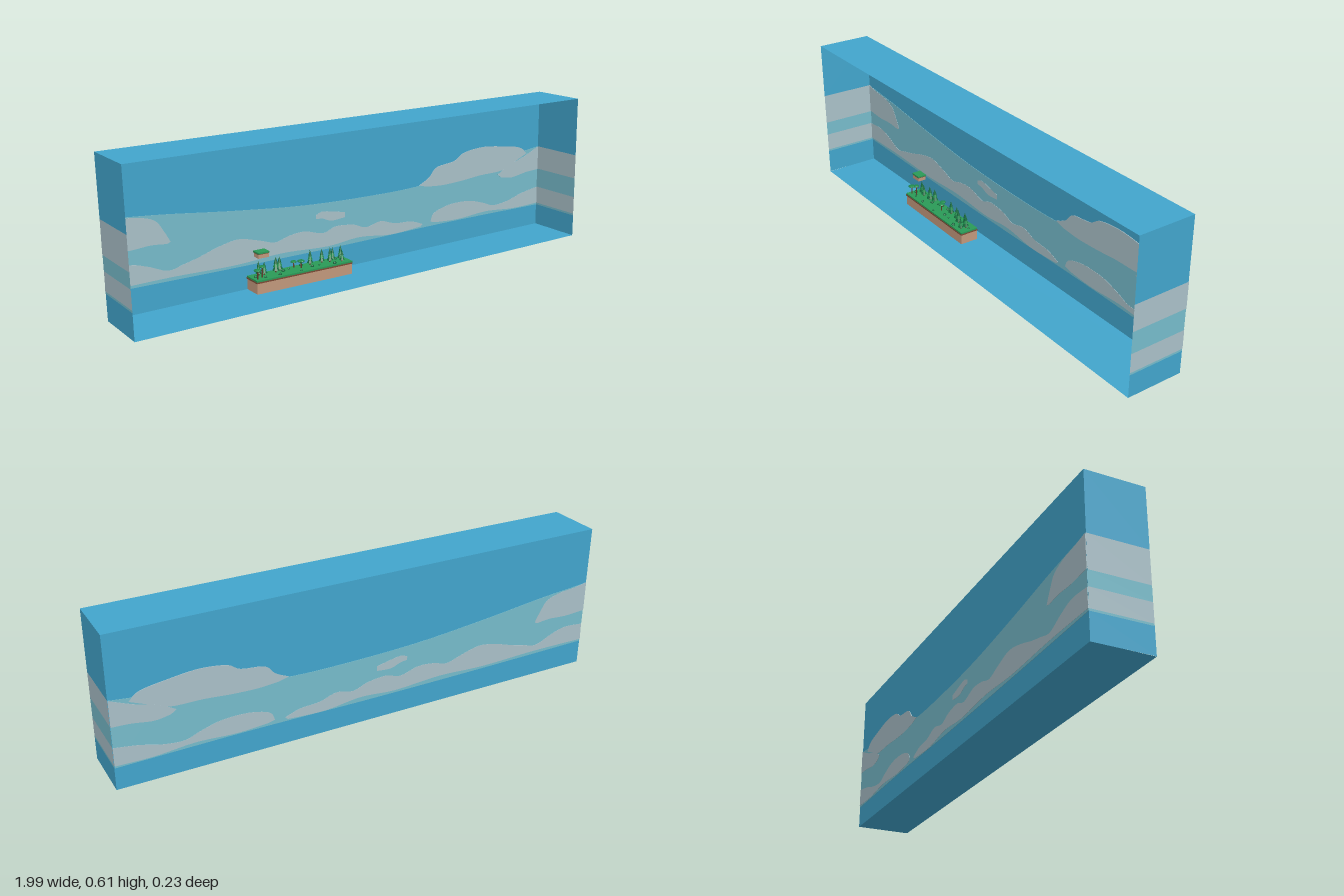
import * as THREE from 'three';

const mat = (name, color, extra = {}) => {
  const m = new THREE.MeshStandardMaterial({ color, ...extra });
  m.name = name;
  return m;
};
const sheet = { side: THREE.DoubleSide };
const low = { flatShading: true };

export function createModel() {
  const M = {
    blue: mat('sky blue', 0x42a5cc, sheet),
    teal: mat('pale sky', 0x76bbca, sheet),
    cloud: mat('cloud grey', 0xa9c0c8, sheet),
    tan: mat('earth tan', 0xc2987c, low),
    soil: mat('dark soil', 0x7a4a35, low),
    grass: mat('grass green', 0x2a9a57, low),
    leaf: mat('leaf green', 0x1f8a4c, low),
    pine: mat('pine green', 0x146c3e, low),
    bark: mat('bark brown', 0x5e3a28, low),
  };
  const root = new THREE.Group();
  root.name = 'skyDiorama';
  const group = (name, parent = root) => {
    const g = new THREE.Group();
    g.name = name;
    parent.add(g);
    return g;
  };
  const add = (parent, name, geo, m, x = 0, y = 0, z = 0) => {
    const mesh = new THREE.Mesh(geo, m);
    mesh.name = name;
    mesh.position.set(x, y, z);
    parent.add(mesh);
    return mesh;
  };

  // Sky box: slightly tilted, open at the front
  const sky = group('skyBox');
  const L0 = -0.987, L1 = -0.997, R0 = 0.993, R1 = 0.986;   // side x at bottom and top
  const BACK = -0.113, FRONT = 0.111;
  const quad = (name, m, a, b, c, d) => {
    const g = new THREE.BufferGeometry();
    g.setAttribute('position', new THREE.Float32BufferAttribute([a, b, c, d].flat(), 3));
    g.setIndex([0, 1, 2, 0, 2, 3]);
    g.computeVertexNormals();
    return add(sky, name, g, m);
  };
  quad('backWall', M.blue, [L0, 0.002, BACK], [R0, 0.02, BACK], [R1, 0.605, BACK], [L1, 0.59, BACK]);
  quad('ceiling', M.blue, [L1, 0.59, FRONT], [R1, 0.605, FRONT], [R1, 0.605, BACK], [L1, 0.59, BACK]);
  quad('floor', M.blue, [L0, 0, FRONT], [R0, 0.02, FRONT], [R0, 0.02, BACK], [L0, 0.002, BACK]);

  // End walls made of horizontal colour bands
  const bandColours = [M.blue, M.teal, M.cloud, M.teal, M.cloud, M.blue];
  const endWall = (name, xb, xt, ys) => {
    const xAt = y => xb + (xt - xb) * (y - ys[0]) / (ys[6] - ys[0]);
    bandColours.forEach((m, i) => {
      const [a, b] = [ys[i], ys[i + 1]];
      quad(name + 'Band', m, [xAt(a), a, FRONT], [xAt(a), a, BACK], [xAt(b), b, BACK], [xAt(b), b, FRONT]);
    });
  };
  endWall('leftEnd', R0, R1, [0.02, 0.107, 0.115, 0.187, 0.268, 0.367, 0.605]);
  endWall('rightEnd', L0, L1, [0.001, 0.1, 0.108, 0.18, 0.237, 0.362, 0.59]);

  // Painted plates that show on both faces of the back wall
  const plate = (name, m, top, bottom, depth) => {
    const s = new THREE.Shape();
    const v = p => new THREE.Vector2(...p);
    s.moveTo(...top[0]);
    s.splineThru(top.slice(1).map(v));
    s.lineTo(...bottom[0]);
    if (bottom.length > 1) s.splineThru(bottom.slice(1).map(v));
    s.closePath();
    const g = new THREE.ExtrudeGeometry(s, { depth, bevelEnabled: false, curveSegments: 5 });
    add(sky, name, g, m, 0, 0, BACK - depth / 2);
  };
  plate('paleSkyBand', M.teal,
    [[-0.992, 0.36], [-0.77, 0.342], [-0.5, 0.312], [-0.2, 0.286], [0.1, 0.278], [0.35, 0.284], [0.6, 0.32], [0.988, 0.367]],
    [[0.99, 0.107], [0.5, 0.108], [0, 0.1], [-0.5, 0.098], [-0.988, 0.1]], 0.003);
  plate('leftHighCloud', M.cloud,
    [[-0.992, 0.362], [-0.93, 0.352], [-0.86, 0.345], [-0.8, 0.325], [-0.77, 0.285], [-0.745, 0.24]],
    [[-0.76, 0.235], [-0.82, 0.24], [-0.9, 0.235], [-0.991, 0.24]], 0.005);
  plate('smallCloud', M.cloud,
    [[-0.15, 0.24], [-0.12, 0.25], [-0.06, 0.24], [-0.02, 0.232]],
    [[-0.02, 0.212], [-0.08, 0.208], [-0.12, 0.222], [-0.15, 0.225]], 0.005);
  plate('bigCloud', M.cloud,
    [[0.34, 0.285], [0.39, 0.31], [0.43, 0.348], [0.52, 0.362], [0.57, 0.39], [0.67, 0.402], [0.78, 0.392], [0.88, 0.375], [0.92, 0.345]],
    [[0.85, 0.315], [0.78, 0.288], [0.66, 0.283], [0.56, 0.274], [0.46, 0.27], [0.38, 0.275]], 0.005);
  plate('rightHighCloud', M.cloud,
    [[0.76, 0.272], [0.82, 0.305], [0.9, 0.33], [0.988, 0.367]],
    [[0.989, 0.266], [0.92, 0.262], [0.84, 0.25], [0.78, 0.258]], 0.0056);
  plate('leftLowCloud', M.cloud,
    [[-0.988, 0.178], [-0.9, 0.184], [-0.83, 0.165], [-0.76, 0.138], [-0.7, 0.15], [-0.64, 0.165], [-0.56, 0.19],
      [-0.48, 0.203], [-0.4, 0.185], [-0.33, 0.165], [-0.27, 0.18], [-0.2, 0.185], [-0.12, 0.165], [-0.06, 0.182],
      [0.02, 0.175], [0.08, 0.155], [0.15, 0.168], [0.22, 0.148], [0.3, 0.142], [0.36, 0.122]],
    [[0.35, 0.113], [0.2, 0.105], [0.05, 0.12], [-0.1, 0.109], [-0.3, 0.118], [-0.5, 0.108], [-0.75, 0.112], [-0.989, 0.108]], 0.005);
  plate('rightLowCloud', M.cloud,
    [[0.4, 0.125], [0.42, 0.16], [0.5, 0.182], [0.6, 0.182], [0.68, 0.162], [0.74, 0.142], [0.82, 0.15], [0.9, 0.172], [0.99, 0.187]],
    [[0.991, 0.115], [0.85, 0.112], [0.7, 0.122], [0.55, 0.113], [0.43, 0.118]], 0.005);

  // Forest ledge
  const ledge = group('forestLedge');
  const CX = -0.278, CZ = -0.018;
  add(ledge, 'earthBlock', new THREE.BoxGeometry(0.405, 0.042, 0.073), M.tan, CX, 0.051, CZ);
  add(ledge, 'soilRim', new THREE.BoxGeometry(0.409, 0.005, 0.077), M.soil, CX, 0.0725, CZ);
  add(ledge, 'grassTop', new THREE.BoxGeometry(0.407, 0.006, 0.075), M.grass, CX, 0.078, CZ);

  // Plants standing on the grass
  const GROUND = 0.08;
  const forest = group('forest');
  const plant = (name, x, z) => {
    const g = group(name, forest);
    g.position.set(x, GROUND, z);
    return g;
  };
  const trunk = (g, h, r) => add(g, 'trunk', new THREE.CylinderGeometry(r * 0.7, r, h, 6), M.bark, 0, h / 2, 0);
  const conifer = (x, z, h, r) => {
    const g = plant('conifer', x, z);
    trunk(g, h * 0.3, 0.003);
    for (let i = 0; i < 3; i++)
      add(g, 'needles', new THREE.ConeGeometry(r * (1 - i * 0.22), h * 0.42, 7), i % 2 ? M.leaf : M.pine, 0, h * (0.36 + i * 0.215), 0);
  };
  const umbrellaTree = (x, z, h, r) => {
    const g = plant('umbrellaTree', x, z);
    trunk(g, h * 0.8, 0.003);
    add(g, 'crown', new THREE.IcosahedronGeometry(r, 1), M.leaf, 0, h * 0.82, 0).scale.y = 0.4;
  };
  const bush = (x, z, r) =>
    add(plant('bush', x, z), 'leaves', new THREE.IcosahedronGeometry(r, 0), M.pine, 0, r * 0.4, 0);

  [[-0.445, -0.035, 0.055, 0.011], [-0.424, -0.03, 0.05, 0.011], [-0.376, -0.03, 0.06, 0.014], [-0.355, -0.04, 0.055, 0.013],
    [-0.227, -0.035, 0.058, 0.012], [-0.179, -0.03, 0.055, 0.012], [-0.15, -0.018, 0.058, 0.012],
    [-0.128, -0.035, 0.05, 0.011], [-0.102, -0.02, 0.058, 0.012], [-0.108, 0, 0.045, 0.01],
  ].forEach(p => conifer(...p));
  [[-0.468, 0, 0.04, 0.014], [-0.275, -0.02, 0.033, 0.014], [-0.295, -0.04, 0.028, 0.012], [-0.445, -0.008, 0.05, 0.012],
  ].forEach(p => umbrellaTree(...p));
  for (let i = 0; i < 14; i++)
    bush(-0.465 + i * 0.029, CZ + 0.028 * Math.sin(i * 2.4), 0.006 + 0.002 * Math.cos(i * 1.7));

  // Floating islet
  const islet = group('floatingIslet');
  islet.position.set(-0.44, 0.165, -0.02);
  add(islet, 'isletEarth', new THREE.BoxGeometry(0.042, 0.016, 0.034), M.tan, 0, -0.003, 0);
  add(islet, 'isletSoil', new THREE.BoxGeometry(0.044, 0.003, 0.036), M.soil, 0, 0.005, 0);
  add(islet, 'isletGrass', new THREE.BoxGeometry(0.045, 0.006, 0.037), M.grass, 0, 0.0085, 0);

  return root;
}
